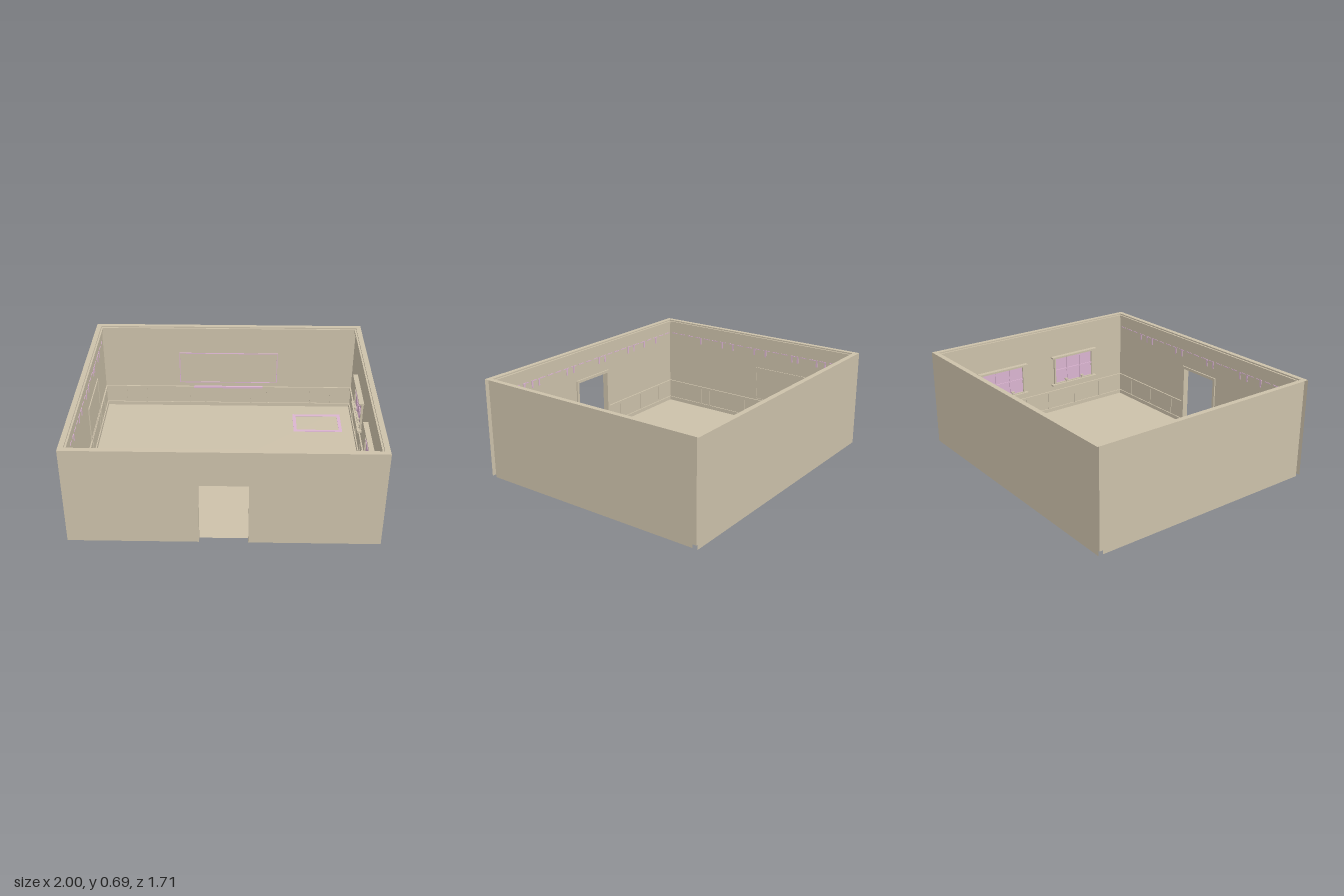
import * as THREE from 'three';

const W = 1, D = 0.855, H = 0.693;      // outer half width, half depth, height
const IW = 0.965, ID = 0.82;            // inner half width, half depth
const DOOR = 0.157, DOOR_H = 0.445;

export function createModel() {
  const model = new THREE.Group();
  const tan = new THREE.MeshStandardMaterial({ color: 0xccc1aa, side: THREE.DoubleSide });
  tan.name = 'tan plaster';
  const mauve = new THREE.MeshStandardMaterial({ color: 0xdab4d0, side: THREE.DoubleSide });
  mauve.name = 'mauve trim';

  const add = (parent, name, geometry, material = tan) => {
    const mesh = new THREE.Mesh(geometry, material);
    mesh.name = name;
    parent.add(mesh);
    return mesh;
  };
  // Box given by its limits
  const box = (parent, name, x0, x1, y0, y1, z0, z1, material) => {
    const mesh = add(parent, name, new THREE.BoxGeometry(x1 - x0, y1 - y0, z1 - z0), material);
    mesh.position.set((x0 + x1) / 2, (y0 + y1) / 2, (z0 + z1) / 2);
    return mesh;
  };
  const rect = (Type, x0, x1, y0, y1) => new Type([
    new THREE.Vector2(x0, y0), new THREE.Vector2(x1, y0),
    new THREE.Vector2(x1, y1), new THREE.Vector2(x0, y1)]);
  // Rectangular frame on a wall
  const frame = (parent, name, x0, x1, y0, y1, t, depth, material) => {
    const shape = rect(THREE.Shape, x0, x1, y0, y1);
    shape.holes.push(rect(THREE.Path, x0 + t, x1 - t, y0 + t, y1 - t));
    return add(parent, name, new THREE.ExtrudeGeometry(shape, { depth, bevelEnabled: false }), material);
  };
  // Group whose +z looks out of a wall face
  const wallGroup = (name, x, z, turn) => {
    const group = new THREE.Group();
    group.name = name;
    group.position.set(x, 0, z);
    group.rotation.y = turn;
    model.add(group);
    return group;
  };
  const wallFace = (parent, name, half, hasDoor) => {
    const d = DOOR, h = DOOR_H;
    const points = hasDoor
      ? [[-half, 0], [-d, 0], [-d, h], [d, h], [d, 0], [half, 0], [half, H], [-half, H]]
      : [[-half, 0], [half, 0], [half, H], [-half, H]];
    add(parent, name, new THREE.ShapeGeometry(
      new THREE.Shape(points.map(([x, y]) => new THREE.Vector2(x, y)))));
  };

  // Outer faces, the side ones stopping short of the corners
  wallFace(wallGroup('frontOutside', 0, D, 0), 'frontOuterWall', W, true);
  wallFace(wallGroup('backOutside', 0, -D, Math.PI), 'backOuterWall', W, false);
  wallFace(wallGroup('leftOutside', W, 0, Math.PI / 2), 'leftOuterWall', ID, false);
  wallFace(wallGroup('rightOutside', -W, 0, -Math.PI / 2), 'rightOuterWall', ID, false);

  // Top of the walls
  const ring = rect(THREE.Shape, -W, W, -D, D);
  ring.holes.push(rect(THREE.Path, -IW, IW, -ID, ID));
  const cap = add(model, 'wallTop', new THREE.ShapeGeometry(ring));
  cap.rotation.x = -Math.PI / 2;
  cap.position.y = H;

  // Floor
  const floor = add(model, 'floor', new THREE.PlaneGeometry(IW * 2 - 0.01, ID * 2 - 0.01));
  floor.rotation.x = -Math.PI / 2;
  floor.position.y = 0.001;

  // Doorway reveals
  for (const s of [-1, 1]) {
    const reveal = add(model, 'doorReveal', new THREE.PlaneGeometry(D - ID, DOOR_H));
    reveal.position.set(s * DOOR, DOOR_H / 2, (D + ID) / 2);
    reveal.rotation.y = -s * Math.PI / 2;
  }
  const lintel = add(model, 'doorLintel', new THREE.PlaneGeometry(DOOR * 2, D - ID));
  lintel.position.set(0, DOOR_H, (D + ID) / 2);
  lintel.rotation.x = Math.PI / 2;

  // Inner walls with crown, chair rail, skirting and panel battens
  const back = wallGroup('backInside', 0, -ID, 0);
  const front = wallGroup('frontInside', 0, ID, Math.PI);
  const right = wallGroup('rightInside', -IW, 0, Math.PI / 2);
  const left = wallGroup('leftInside', IW, 0, -Math.PI / 2);
  const inner = [
    [back, IW, [0.18, 0.31, 0.65, 0.81]], [front, IW, [0.31, 0.57, 0.81]],
    [right, ID, [0.08, 0.42, 0.5, 0.67]], [left, ID, [0.1, 0.35, 0.6]]];
  for (const [wall, half, battens] of inner) {
    const hasDoor = wall === front;
    wallFace(wall, 'innerWall', half, hasDoor);
    box(wall, 'crownMoulding', -half, half, H - 0.03, H - 0.01, 0, 0.012);
    const runs = hasDoor ? [[-half, -0.177], [0.177, half]] : [[-half, half]];
    for (const [a, b] of runs) {
      box(wall, 'chairRail', a, b, 0.16, 0.175, 0, 0.01);
      box(wall, 'skirting', a, b, 0.001, 0.03, 0, 0.008);
    }
    for (const x of battens) for (const s of [-1, 1]) {
      box(wall, 'panelBatten', s * x - 0.006, s * x + 0.006, 0.03, 0.16, 0, 0.005);
    }
  }

  // Door casing
  for (const s of [-1, 1]) {
    box(front, 'doorCasing', s * 0.167 - 0.01, s * 0.167 + 0.01, 0.001, DOOR_H, 0, 0.01);
  }
  box(front, 'doorHeadCasing', -0.177, 0.177, DOOR_H, DOOR_H + 0.02, 0, 0.01);

  // Wall boards and tray
  box(back, 'largeBoard', -0.375, 0.375, 0.215, 0.465, 0, 0.003);
  frame(back, 'largeBoardFrame', -0.38, 0.38, 0.21, 0.47, 0.006, 0.006, mauve);
  box(back, 'boardTray', -0.27, 0.27, 0.164, 0.178, 0, 0.015, mauve);
  box(right, 'sideBoard', 0.02, 0.46, 0.18, 0.44, 0, 0.003);
  frame(right, 'sideBoardFrame', 0.02, 0.46, 0.18, 0.44, 0.01, 0.007);

  // Dashed wall border with hanging tabs
  const tabs = [
    [right, ID, [-0.51, -0.3, -0.2, 0, 0.1, 0.33, 0.38, 0.54, 0.61]],
    [front, IW, [-0.69, -0.615, -0.55, -0.27, -0.2, 0.08, 0.145, 0.42, 0.49, 0.62, 0.77]]];
  for (const [wall, half, places] of tabs) {
    for (let x = -half + 0.02; x < half - 0.07; x += 0.08) {
      box(wall, 'borderDash', x, x + 0.055, 0.582, 0.588, 0, 0.003, mauve);
    }
    for (const x of places) box(wall, 'borderTab', x - 0.006, x + 0.006, 0.535, 0.588, 0, 0.004, mauve);
  }

  // Two windows on the left wall
  for (const centre of [-0.31, 0.34]) {
    const win = new THREE.Group();
    win.name = 'window';
    win.position.x = centre;
    left.add(win);
    box(win, 'windowPane', -0.175, 0.175, 0.23, 0.445, 0, 0.004, mauve);
    frame(win, 'windowCasing', -0.185, 0.185, 0.225, 0.45, 0.012, 0.015);
    box(win, 'windowHead', -0.21, 0.21, 0.447, 0.46, 0, 0.035);
    box(win, 'windowSill', -0.21, 0.21, 0.218, 0.23, 0, 0.03);
    box(win, 'middleRail', -0.173, 0.173, 0.335, 0.345, 0, 0.012, mauve);
    for (const x of [-0.06, 0.06]) {
      box(win, 'glazingBar', x - 0.004, x + 0.004, 0.237, 0.438, 0, 0.01, mauve);
    }
    for (const x of [-0.075, 0.075]) {
      box(win, 'sashLift', x - 0.012, x + 0.012, 0.25, 0.258, 0, 0.025);
      box(win, 'sashLiftStem', x - 0.004, x + 0.004, 0.23, 0.25, 0, 0.02);
    }
  }

  // Floor border in the back corner
  const mark = frame(model, 'floorBorder', 0.505, 0.875, 0.44, 0.685, 0.025, 0.003, mauve);
  mark.rotation.x = -Math.PI / 2;
  mark.position.y = 0.001;

  return model;
}
